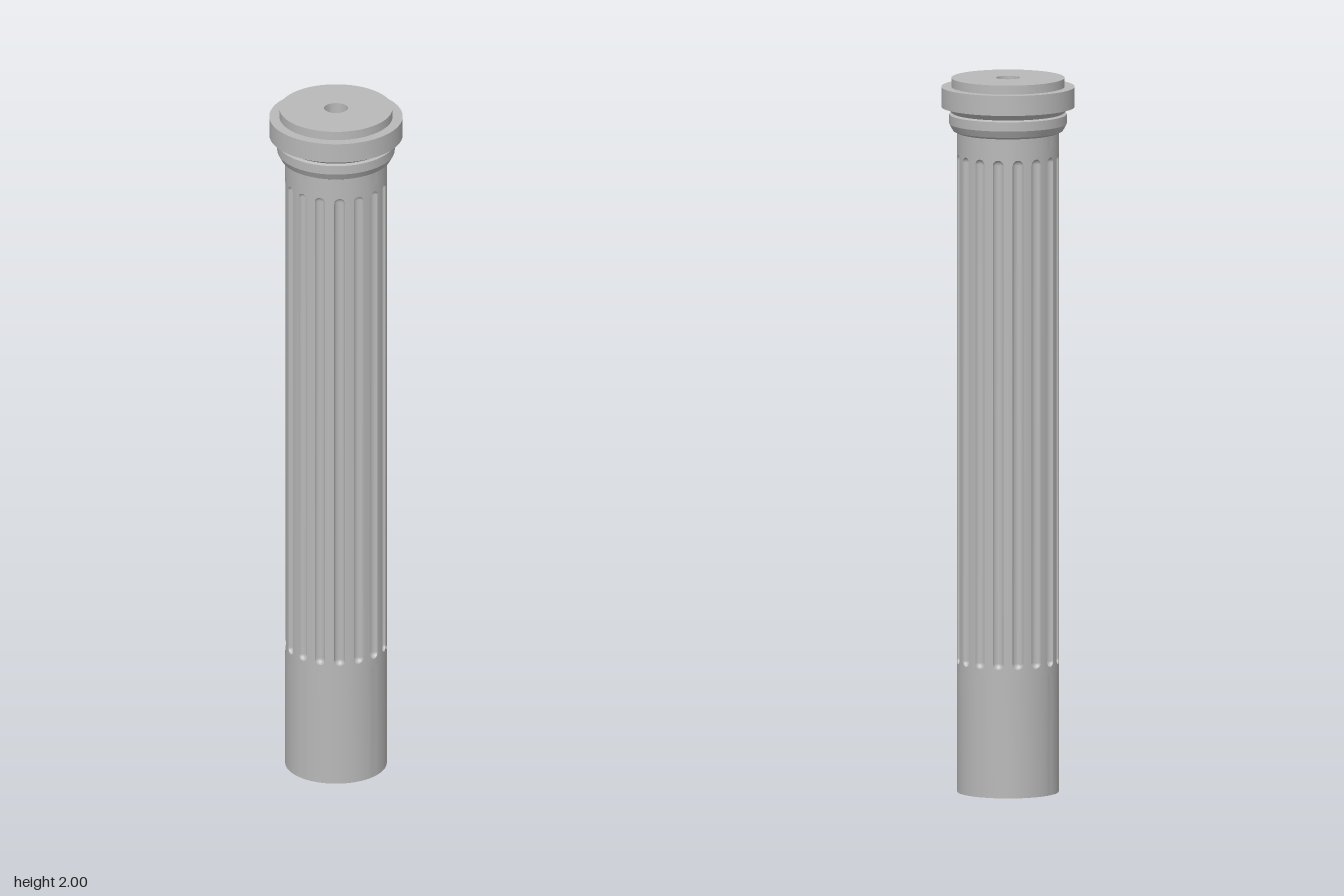
import * as THREE from 'three';
import { toCreasedNormals } from 'three/addons/utils/BufferGeometryUtils.js';

const R = 0.141;              // shaft radius
const BORE = 0.033;           // radius of the hole along the axis
const FLUTES = 16;
const Y0 = 0.34, Y1 = 1.81;   // fluted zone
const F0 = 0.36, F1 = 1.787;  // flute ends
const W = 0.015, DEPTH = 0.013;
const STEPS = 6;              // facets per flute sector
const HALF = Math.PI * R / FLUTES;

// Bend a point on the unrolled shaft (s across, y up, d deep) round the axis
function wrap(s, y, d) {
  const a = s / R;
  return [Math.sin(a) * (R - d), y, Math.cos(a) * (R - d)];
}

// Rounded slot outline, counter-clockwise
function slot(radius, n = 10) {
  const pts = [];
  for (let i = 0; i <= n; i++) {
    const a = Math.PI * i / n;
    pts.push([radius * Math.cos(a), F1 - W + radius * Math.sin(a)]);
  }
  for (let i = 0; i <= n; i++) {
    const a = Math.PI * (1 + i / n);
    pts.push([radius * Math.cos(a), F0 + W + radius * Math.sin(a)]);
  }
  return pts;
}

// Curved face around one flute
function landGeometry() {
  const outline = [];
  for (let i = 0; i <= STEPS; i++) outline.push(new THREE.Vector2(HALF * (2 * i / STEPS - 1), Y0));
  for (let i = STEPS; i >= 0; i--) outline.push(new THREE.Vector2(HALF * (2 * i / STEPS - 1), Y1));
  const shape = new THREE.Shape(outline);
  shape.holes.push(new THREE.Path(slot(W).map(([s, y]) => new THREE.Vector2(s, y)).reverse()));
  const g = new THREE.ShapeGeometry(shape);
  const p = g.attributes.position, n = g.attributes.normal;
  for (let i = 0; i < p.count; i++) {
    const a = p.getX(i) / R;
    p.setXYZ(i, ...wrap(p.getX(i), p.getY(i), 0));
    n.setXYZ(i, Math.sin(a), 0, Math.cos(a));
  }
  return g;
}

// Hollow of one flute: slot outlines shrinking as they go deeper
function grooveGeometry() {
  const levels = 7, pos = [], idx = [];
  const count = slot(W).length;
  for (let k = 0; k <= levels; k++) {
    const phi = Math.PI / 2 * k / levels;
    const radius = Math.max(W * Math.cos(phi), 1e-5);
    for (const [s, y] of slot(radius)) pos.push(...wrap(s, y, DEPTH * Math.sin(phi)));
  }
  for (let k = 0; k < levels; k++) {
    for (let i = 0; i < count; i++) {
      const j = (i + 1) % count;
      const a = k * count + i, b = k * count + j, c = a + count, d = b + count;
      idx.push(a, b, c, b, d, c);
    }
  }
  const g = new THREE.BufferGeometry();
  g.setAttribute('position', new THREE.Float32BufferAttribute(pos, 3));
  g.setIndex(idx);
  g.computeVertexNormals();
  return g;
}

export function createModel() {
  const stone = new THREE.MeshStandardMaterial({ color: 0xb8b8b8 });
  stone.name = 'greyStone';
  const model = new THREE.Group();
  model.name = 'column';

  const turned = (name, points) => {
    const lathe = new THREE.LatheGeometry(
      points.map(([r, y]) => new THREE.Vector2(r, y)), FLUTES * STEPS, Math.PI / FLUTES);
    const mesh = new THREE.Mesh(toCreasedNormals(lathe, 0.3), stone);
    mesh.name = name;
    model.add(mesh);
  };

  // Plain foot, moulded capital and the bore through both
  turned('plainBase', [[BORE, 0], [R, 0], [R, Y0]]);
  turned('capital', [
    [R, Y1], [R, 1.847], [0.153, 1.853], [0.163, 1.872], [0.163, 1.898],
    [0.155, 1.902], [0.172, 1.917], [0.185, 1.919], [0.185, 1.975],
    [0.157, 1.975], [0.157, 2], [BORE, 2],
  ]);
  turned('bore', [[BORE, 2], [BORE, 0]]);

  // Fluted shaft
  const shaft = new THREE.Group();
  shaft.name = 'flutedShaft';
  const land = landGeometry(), groove = grooveGeometry();
  for (let i = 0; i < FLUTES; i++) {
    const face = new THREE.Mesh(land, stone);
    face.name = 'shaftFace';
    const flute = new THREE.Mesh(groove, stone);
    flute.name = 'flute';
    face.rotation.y = flute.rotation.y = 2 * Math.PI * i / FLUTES;
    shaft.add(face, flute);
  }
  model.add(shaft);
  return model;
}
